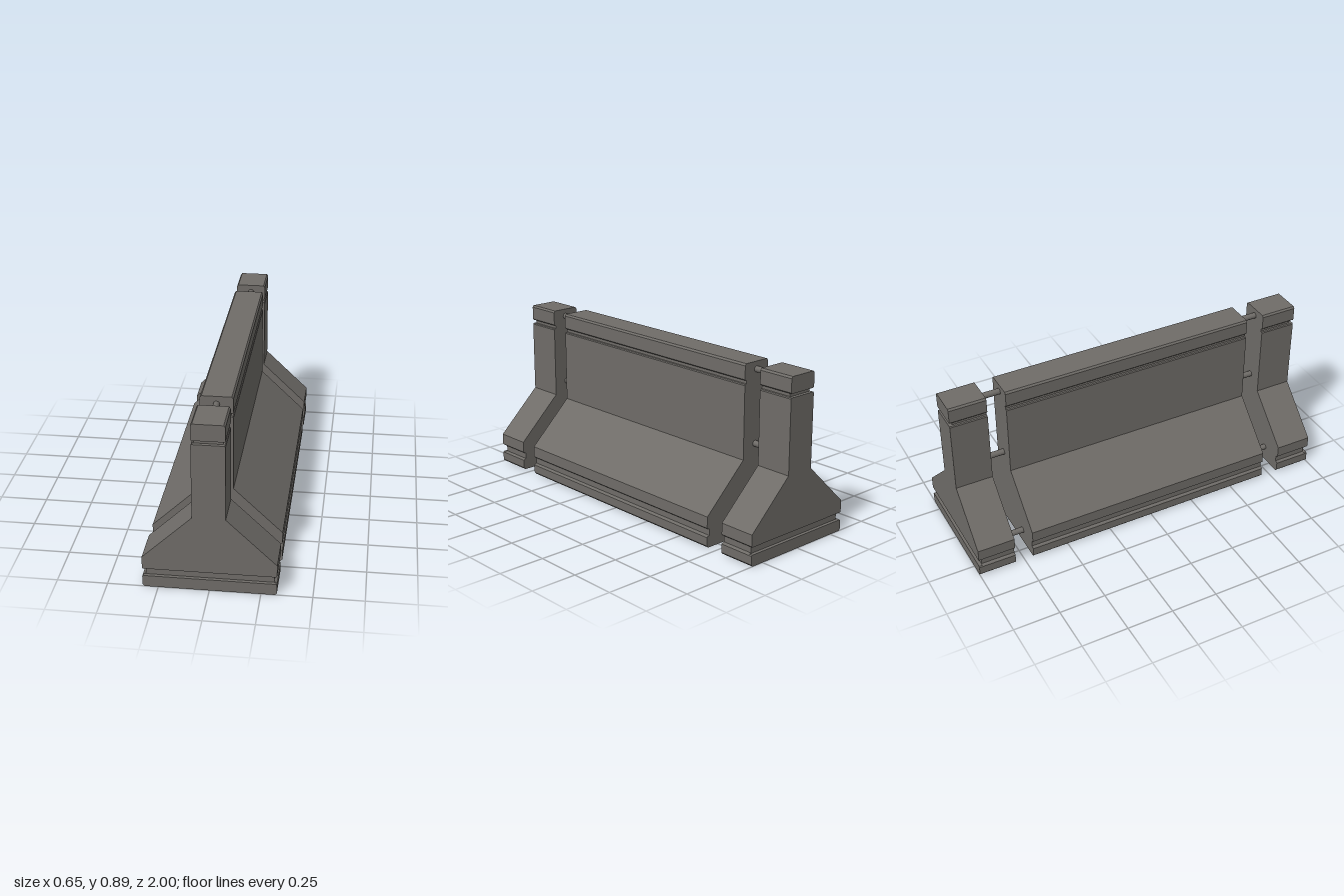
import * as THREE from 'three';

const concrete = new THREE.MeshStandardMaterial({ color: 0x6f6c68 });
concrete.name = 'grey concrete';

// Right-hand half outlines [x, y] of the three solid bands, bottom to top
const foot = [[0.318, 0], [0.327, 0.01], [0.327, 0.055], [0.322, 0.06]];
const body = [[0.322, 0.1], [0.327, 0.105], [0.327, 0.165], [0.081, 0.4], [0.081, 0.785], [0.077, 0.79]];
const cap = [[0.077, 0.81], [0.081, 0.815], [0.081, 0.885], [0.073, 0.895]];
// Recessed grooves between the bands
const lowGroove = [[0.312, 0.063], [0.312, 0.097]];
const topGroove = [[0.069, 0.792], [0.069, 0.808]];
const fullOutline = [...foot, ...lowGroove, ...body, ...topGroove, ...cap];

// Mirrors a half outline and extrudes it along z from z0 to z1
function slab(name, half, z0, z1) {
  const left = half.map(([x, y]) => [-x, y]).reverse();
  const shape = new THREE.Shape([...half, ...left].map(([x, y]) => new THREE.Vector2(x, y)));
  const geo = new THREE.ExtrudeGeometry(shape, { depth: z1 - z0, bevelEnabled: false });
  geo.translate(0, 0, z0);
  const mesh = new THREE.Mesh(geo, concrete);
  mesh.name = name;
  return mesh;
}

function rod(x, y) {
  const geo = new THREE.CylinderGeometry(0.016, 0.016, 0.14, 12);
  geo.rotateX(Math.PI / 2);
  const mesh = new THREE.Mesh(geo, concrete);
  mesh.position.set(x, y, 0.75);
  mesh.name = 'connectingRod';
  return mesh;
}

// End block whose grooves also wrap round its outer face, with its rods
function endSection(name) {
  const g = new THREE.Group();
  g.name = name;
  g.add(slab('endCore', fullOutline, 0.8, 0.982));
  g.add(slab('endFoot', foot, 0.982, 1));
  g.add(slab('endBody', body, 0.982, 1));
  g.add(slab('endCap', cap, 0.982, 1));
  for (const [x, y] of [[-0.195, 0.083], [0.195, 0.083], [0, 0.47], [0, 0.855]]) g.add(rod(x, y));
  return g;
}

export function createModel() {
  const model = new THREE.Group();
  model.name = 'roadBarrier';
  model.add(slab('middleSection', fullOutline, -0.7, 0.7));
  const front = endSection('frontEnd');
  const back = endSection('backEnd');
  back.rotation.y = Math.PI;
  model.add(front, back);
  return model;
}
